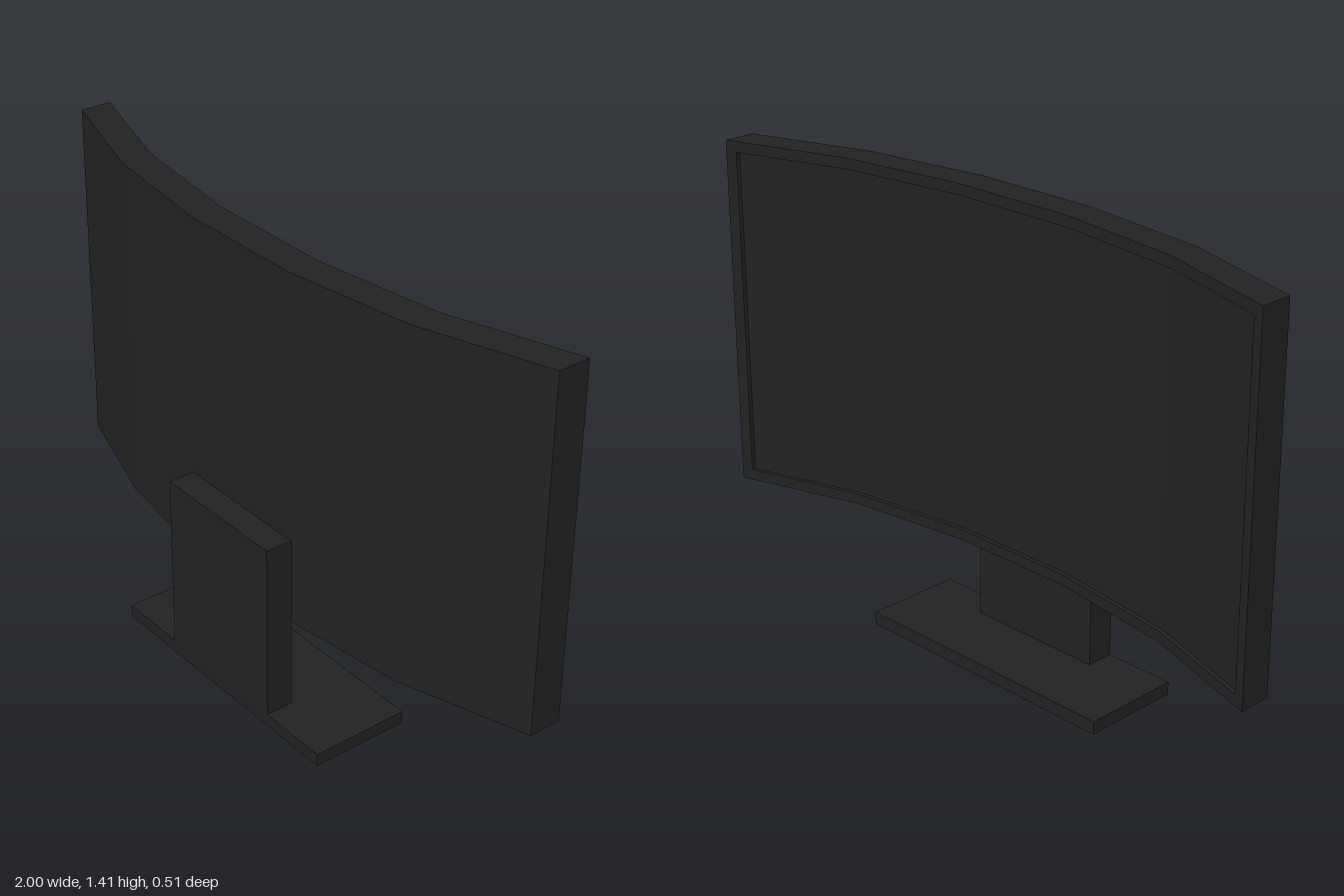
import * as THREE from 'three';

// Plan of the curved panel: x and z of its concave face, five flat facets
const CURVE = [[-1, -0.207], [-0.61, -0.083], [-0.205, -0.028], [0.205, -0.028], [0.61, -0.083], [1, -0.207]];
const BOTTOM = 0.325, TOP = 1.405, BEZEL = 0.033, RECESS = 0.013, DEPTH = 0.1;

function curveZ(x) {
  let i = 0;
  while (i < CURVE.length - 2 && x > CURVE[i + 1][0]) i++;
  const [x0, z0] = CURVE[i], [x1, z1] = CURVE[i + 1];
  return z0 + (z1 - z0) * (x - x0) / (x1 - x0);
}

// Upright slab following the curve from x0 to x1, between two depths behind the concave face
function curvedSlab(x0, x1, d0, d1, y0, y1) {
  const xs = [x0, ...CURVE.map(p => p[0]).filter(x => x > x0 && x < x1), x1];
  const near = xs.map(x => new THREE.Vector2(x, -(curveZ(x) + d0)));
  const far = xs.map(x => new THREE.Vector2(x, -(curveZ(x) + d1))).reverse();
  const geo = new THREE.ExtrudeGeometry(new THREE.Shape([...near, ...far]), { depth: y1 - y0, bevelEnabled: false });
  return geo.rotateX(-Math.PI / 2).translate(0, y0, 0);
}

export function createModel() {
  const black = new THREE.MeshStandardMaterial({ color: 0x222222 });
  black.name = 'black plastic';

  const model = new THREE.Group();
  model.name = 'curvedMonitor';
  // The whole monitor is turned slightly on its vertical axis
  const monitor = new THREE.Group();
  monitor.name = 'monitor';
  monitor.rotation.y = -THREE.MathUtils.degToRad(6);
  monitor.position.set(-0.0175, 0, 0.056);
  model.add(monitor);

  const add = (name, geometry, parent = monitor) => {
    const mesh = new THREE.Mesh(geometry, black);
    mesh.name = name;
    parent.add(mesh);
    return mesh;
  };

  // Panel: housing whose concave face is the screen, with a raised bezel around it
  const panel = new THREE.Group();
  panel.name = 'panel';
  monitor.add(panel);
  add('screenHousing', curvedSlab(-1, 1, RECESS, DEPTH, BOTTOM, TOP), panel);
  add('bezelBottom', curvedSlab(-1, 1, 0, RECESS, BOTTOM, BOTTOM + BEZEL), panel);
  add('bezelTop', curvedSlab(-1, 1, 0, RECESS, TOP - BEZEL, TOP), panel);
  add('bezelRight', curvedSlab(-1, -1 + BEZEL, 0, RECESS, BOTTOM + BEZEL, TOP - BEZEL), panel);
  add('bezelLeft', curvedSlab(1 - BEZEL, 1, 0, RECESS, BOTTOM + BEZEL, TOP - BEZEL), panel);

  // Stand: flat foot and an upright flush with one long edge of it
  add('foot', new THREE.BoxGeometry(0.9, 0.04, 0.31)).position.y = 0.02;
  add('upright', new THREE.BoxGeometry(0.45, 0.557, 0.087)).position.set(0, 0.3185, 0.1115);

  return model;
}
